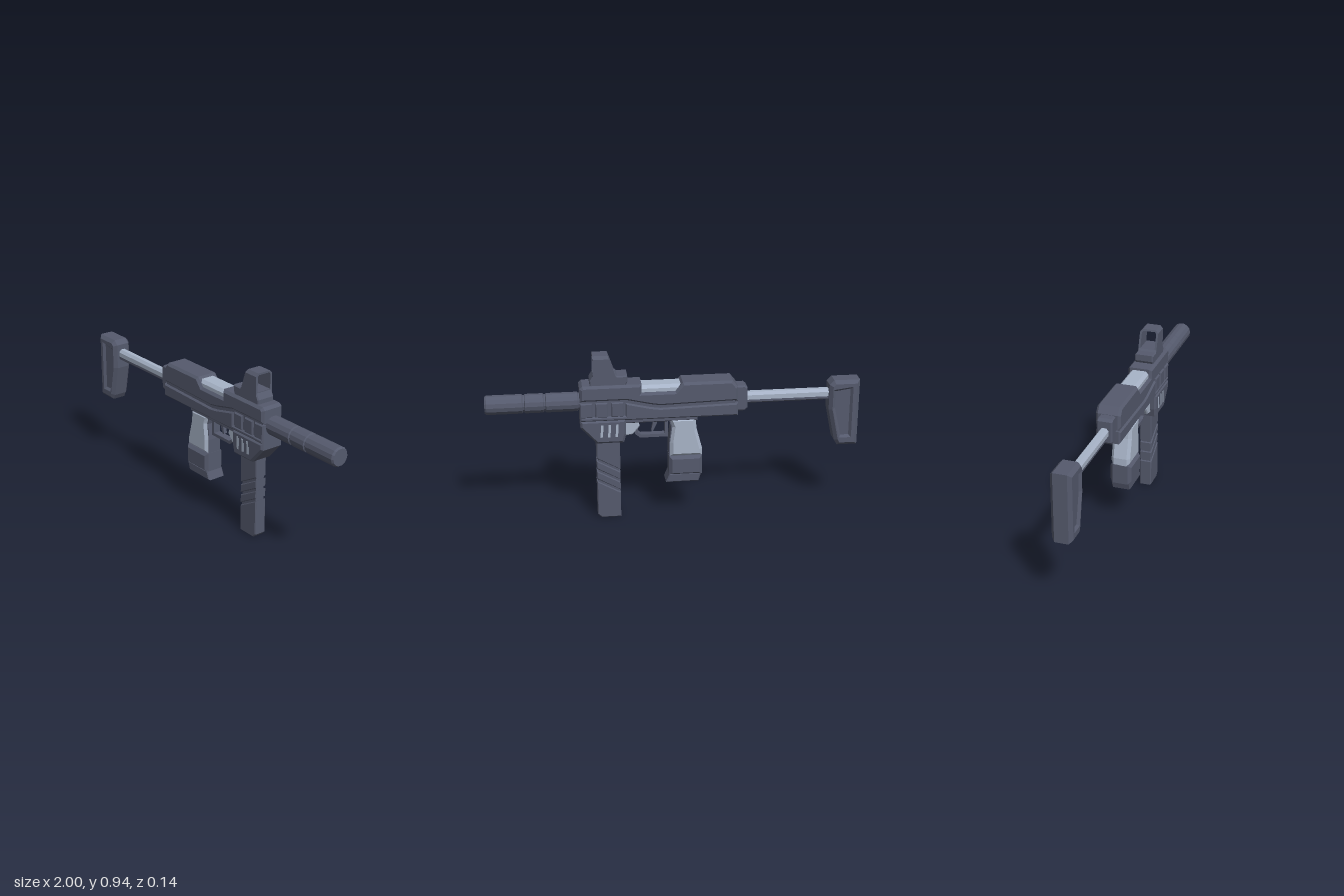
import * as THREE from 'three';

const dark = new THREE.MeshStandardMaterial({ color: 0x555a6d });
dark.name = 'dark slate';
const light = new THREE.MeshStandardMaterial({ color: 0xa8b4c8 });
light.name = 'pale steel';

const toShape = pts => new THREE.Shape(pts.map(p => new THREE.Vector2(p[0], p[1])));

// Side profile (x, y) thickened to +-half in z, with chamfered edges inside the outline
function slab(pts, half, bevel = 0, hole = null) {
  const shape = toShape(pts);
  if (hole) shape.holes.push(new THREE.Path(hole.map(p => new THREE.Vector2(p[0], p[1]))));
  const depth = 2 * (half - bevel);
  const g = new THREE.ExtrudeGeometry(shape, {
    depth, bevelEnabled: bevel > 0, bevelSize: bevel, bevelThickness: bevel,
    bevelOffset: -bevel, bevelSegments: 1,
  });
  return g.translate(0, 0, -depth / 2);
}

// Cross-section (z, y) run along x from x0 to x1
function rail(pts, x0, x1, hole = null) {
  const g = slab(pts, (x1 - x0) / 2, 0, hole);
  return g.rotateY(Math.PI / 2).translate((x0 + x1) / 2, 0, 0);
}

const rect = (x0, x1, y0, y1) => [[x0, y0], [x1, y0], [x1, y1], [x0, y1]];

// Rectangle with cut corners, centred on the first axis
function cutRect(h, y0, y1, c) {
  return [[-h + c, y0], [h - c, y0], [h, y0 + c], [h, y1 - c], [h - c, y1], [-h + c, y1], [-h, y1 - c], [-h, y0 + c]];
}

export function createModel() {
  const model = new THREE.Group();
  model.name = 'model';
  const add = (name, geo, mat = dark) => {
    const m = new THREE.Mesh(geo, mat);
    m.name = name;
    model.add(m);
    return m;
  };

  // Receiver: narrow core, upper cover and lower frame with a seam between
  add('receiverCore', slab(rect(-0.32, 0.495, 0.59, 0.72), 0.057));
  add('upperCover', slab([
    [-0.335, 0.662], [0.08, 0.652], [0.13, 0.66], [0.26, 0.69], [0.505, 0.69], [0.505, 0.762], [0.49, 0.777],
    [0.178, 0.777], [0.178, 0.73], [0.0, 0.73], [-0.04, 0.777], [-0.305, 0.777], [-0.335, 0.74],
  ], 0.067, 0.013));
  add('lowerFrame', slab([
    [-0.335, 0.58], [0.505, 0.58], [0.505, 0.605], [0.265, 0.605], [0.265, 0.678],
    [0.13, 0.647], [0.08, 0.64], [-0.335, 0.65],
  ], 0.067, 0.008));
  for (const x of [0.274, 0.358, 0.438])
    add('receiverRib', slab(rect(x, x + 0.067, 0.6, 0.683), 0.066, 0.006));
  add('bottomTrim', slab(rect(-0.12, 0.27, 0.555, 0.585), 0.048, 0.006));
  add('rearCap', slab([[-0.39, 0.61], [-0.375, 0.595], [-0.32, 0.595], [-0.32, 0.738], [-0.375, 0.738], [-0.39, 0.725]], 0.042, 0.008));
  add('bolt', rail(cutRect(0.052, 0.69, 0.765, 0.016), -0.035, 0.178), light);

  // Barrel: three thick sleeves joined by narrower grooves
  const profile = [[0, 0.495], [0.046, 0.495], [0.046, 0.51], [0.052, 0.515]];
  for (const x of [0.687, 0.797])
    profile.push([0.052, x - 0.008], [0.046, x - 0.004], [0.046, x + 0.004], [0.052, x + 0.008]);
  profile.push([0.052, 0.99], [0.045, 1], [0, 1]);
  const barrel = new THREE.LatheGeometry(profile.map(p => new THREE.Vector2(p[0], p[1])), 14).toNonIndexed();
  barrel.computeVertexNormals();
  add('barrel', barrel.rotateZ(-Math.PI / 2).translate(0, 0.675, 0));

  // Stock: two-tone rod and a butt with a framed recess on each side
  add('stockRod', rail([[-0.024, 0.65], [0.024, 0.65], [0.024, 0.675], [0.012, 0.69], [-0.012, 0.69], [-0.024, 0.675]], -0.85, -0.385), light);
  add('stockRodBase', rail([[-0.015, 0.63], [0.015, 0.63], [0.024, 0.638], [0.024, 0.65], [-0.024, 0.65], [-0.024, 0.638]], -0.85, -0.385));
  const butt = [[-1, 0.37], [-0.89, 0.37], [-0.873, 0.4], [-0.835, 0.58], [-0.835, 0.72], [-0.86, 0.745], [-1, 0.745]];
  add('stockButt', slab(butt, 0.042, 0.006));
  add('stockFrame', slab(butt, 0.055, 0.018,
    [[-0.945, 0.435], [-0.91, 0.435], [-0.873, 0.59], [-0.873, 0.68], [-0.945, 0.69]]));

  // Pistol grip: pale upper, dark front strip and dark foot
  add('gripUpper', slab([
    [-0.147, 0.35], [0.027, 0.35], [0.027, 0.43], [0.015, 0.52], [0.03, 0.57], [-0.11, 0.57], [-0.118, 0.5], [-0.147, 0.39],
  ], 0.052, 0.016), light);
  add('gripFrontStrip', slab([
    [0.01, 0.35], [0.031, 0.35], [0.031, 0.43], [0.02, 0.52], [0.035, 0.57], [0.015, 0.57], [0.0, 0.52], [0.01, 0.43],
  ], 0.037));
  add('gripLower', slab([[-0.147, 0.24], [0.032, 0.24], [0.032, 0.352], [-0.147, 0.352]], 0.059, 0.016));
  add('gripFoot', slab([[-0.128, 0.2], [0.05, 0.2], [0.03, 0.25], [-0.143, 0.25]], 0.052, 0.006));

  // Trigger group
  add('triggerGuard', slab(
    [[0.035, 0.458], [0.185, 0.458], [0.212, 0.48], [0.212, 0.57], [0.035, 0.57]], 0.02, 0,
    [[0.052, 0.475], [0.18, 0.475], [0.197, 0.488], [0.197, 0.56], [0.052, 0.56]]));
  add('trigger', slab([[0.085, 0.57], [0.095, 0.53], [0.115, 0.488], [0.125, 0.493], [0.116, 0.535], [0.12, 0.57]], 0.01));
  add('magazineCatch', slab([[0.188, 0.53], [0.225, 0.485], [0.275, 0.478], [0.275, 0.57], [0.2, 0.57]], 0.036, 0.006), light);

  // Magazine well with three slanted pale slits per side
  add('magazineWell', slab([
    [0.263, 0.5], [0.275, 0.452], [0.42, 0.452], [0.505, 0.545], [0.505, 0.585], [0.263, 0.585],
  ], 0.069, 0.012));
  for (const x of [0.308, 0.348, 0.388])
    for (const s of [-1, 1])
      add('wellSlit', slab([[x, 0.49], [x + 0.013, 0.49], [x + 0.008, 0.56], [x - 0.005, 0.56]], 0.003)
        .translate(0, 0, s * 0.068), light);

  // Magazine: inner core and blocks parted by diagonal grooves
  add('magazineCore', slab(rect(0.302, 0.413, 0.03, 0.47), 0.026));
  const cuts = [0.225, 0.285, 0.345];
  const gap = 0.007, rise = 0.07;
  for (let i = 0; i <= 3; i++) {
    const low = i ? [[0.295, cuts[i - 1] - rise + gap], [0.422, cuts[i - 1] + gap]] : [[0.295, 0], [0.402, 0], [0.422, 0.02]];
    const high = i < 3 ? [[0.422, cuts[i] - gap], [0.295, cuts[i] - rise - gap]] : [[0.422, 0.47], [0.295, 0.47]];
    add('magazineBlock', slab([...low, ...high], 0.034, 0.005));
  }

  // Sight: base and open hood whose rear edge leans forward
  add('sightBase', slab([
    [0.262, 0.77], [0.45, 0.77], [0.45, 0.8], [0.43, 0.835], [0.315, 0.835], [0.305, 0.825], [0.252, 0.825], [0.252, 0.79],
  ], 0.052, 0.006));
  const hood = rail(
    [[-0.052, 0.82], [0.052, 0.82], [0.052, 0.92], [0.037, 0.936], [-0.037, 0.936], [-0.052, 0.92]], 0.31, 0.432,
    [[-0.041, 0.835], [0.041, 0.835], [0.041, 0.917], [0.033, 0.926], [-0.033, 0.926], [-0.041, 0.917]]);
  const pos = hood.attributes.position;
  for (let i = 0; i < pos.count; i++)
    if (pos.getX(i) < 0.37) pos.setX(i, 0.312 + (pos.getY(i) - 0.82) * 0.34);
  hood.computeVertexNormals();
  add('sightHood', hood);

  return model;
}
